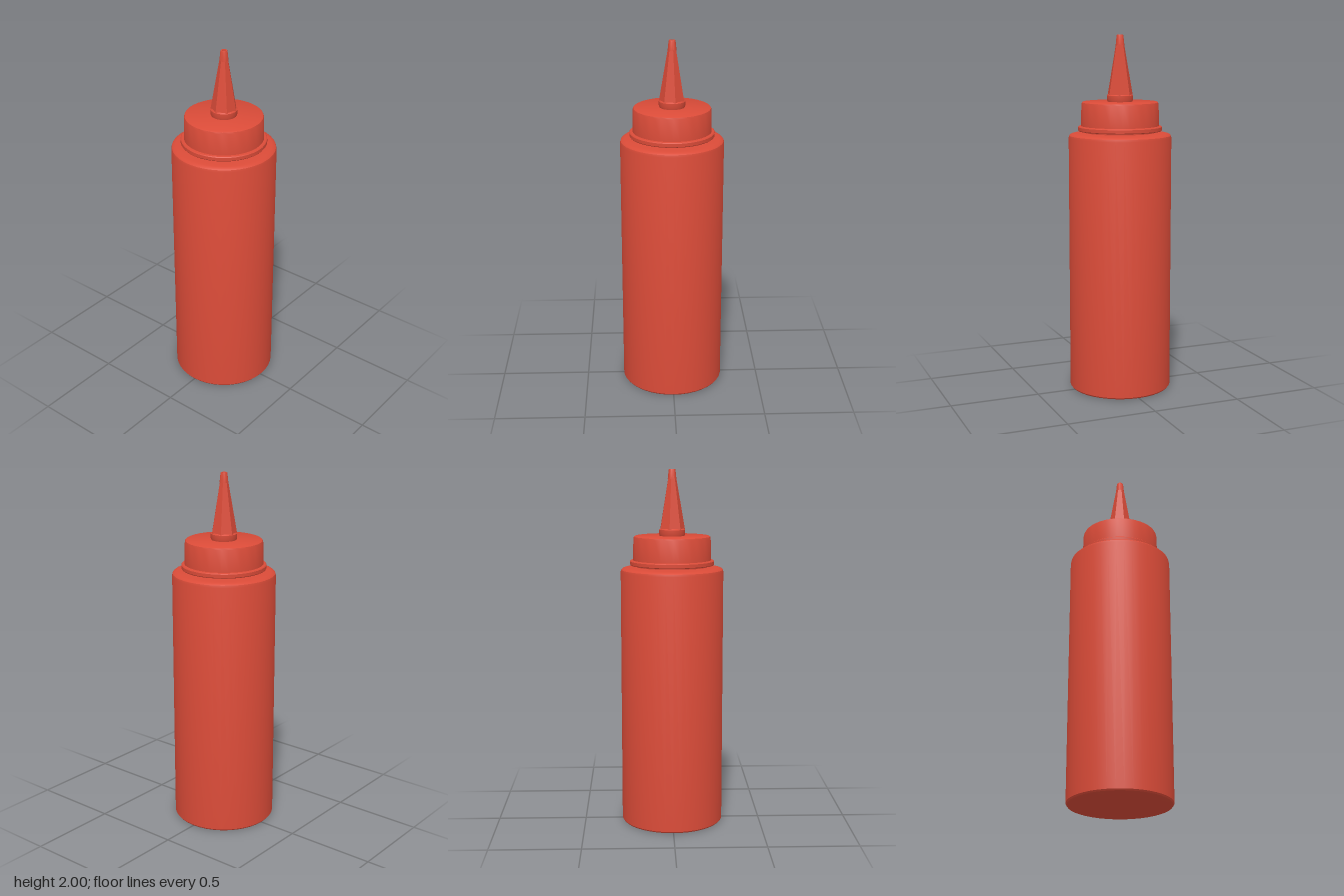
import * as THREE from 'three';
import { toCreasedNormals } from 'three/addons/utils/BufferGeometryUtils.js';

export function createModel() {
  const model = new THREE.Group();
  model.name = 'squeezeBottle';
  const red = new THREE.MeshStandardMaterial({ color: 0xda4b38 });
  red.name = 'red plastic';

  // Turned part from [radius, height] pairs, listed from bottom to top
  function turned(name, profile, sides, crease = 0.6) {
    const points = profile.map(([r, y]) => new THREE.Vector2(r, y));
    const geometry = toCreasedNormals(new THREE.LatheGeometry(points, sides), crease);
    const mesh = new THREE.Mesh(geometry, red);
    mesh.name = name;
    model.add(mesh);
    return mesh;
  }

  // Straight body with a rounded shoulder and a short neck
  turned('body', [
    [0, 0.004], [0.27, 0], [0.281, 0.002], [0.287, 0.01], [0.287, 1.435],
    [0.284, 1.447], [0.276, 1.454], [0.262, 1.458], [0.235, 1.46],
    [0.2, 1.463], [0.2, 1.49],
  ], 40);

  // Screw cap with a thin flange at its foot
  turned('cap', [
    [0, 1.472], [0.232, 1.472], [0.235, 1.476], [0.235, 1.494], [0.231, 1.498],
    [0.218, 1.5], [0.215, 1.622], [0.212, 1.63], [0.205, 1.634], [0, 1.634],
  ], 40);

  // Round collar under the nozzle
  turned('nozzleCollar', [
    [0.068, 1.63], [0.073, 1.645], [0.073, 1.668], [0.066, 1.674], [0, 1.674],
  ], 24);

  // Faceted nozzle cone
  turned('nozzle', [[0.072, 1.668], [0.023, 1.952]], 7, 0.1);

  // Round tip with a small opening
  turned('nozzleTip', [
    [0.024, 1.945], [0.019, 1.995], [0.017, 2], [0.01, 2], [0.009, 1.97], [0, 1.97],
  ], 16);

  return model;
}
